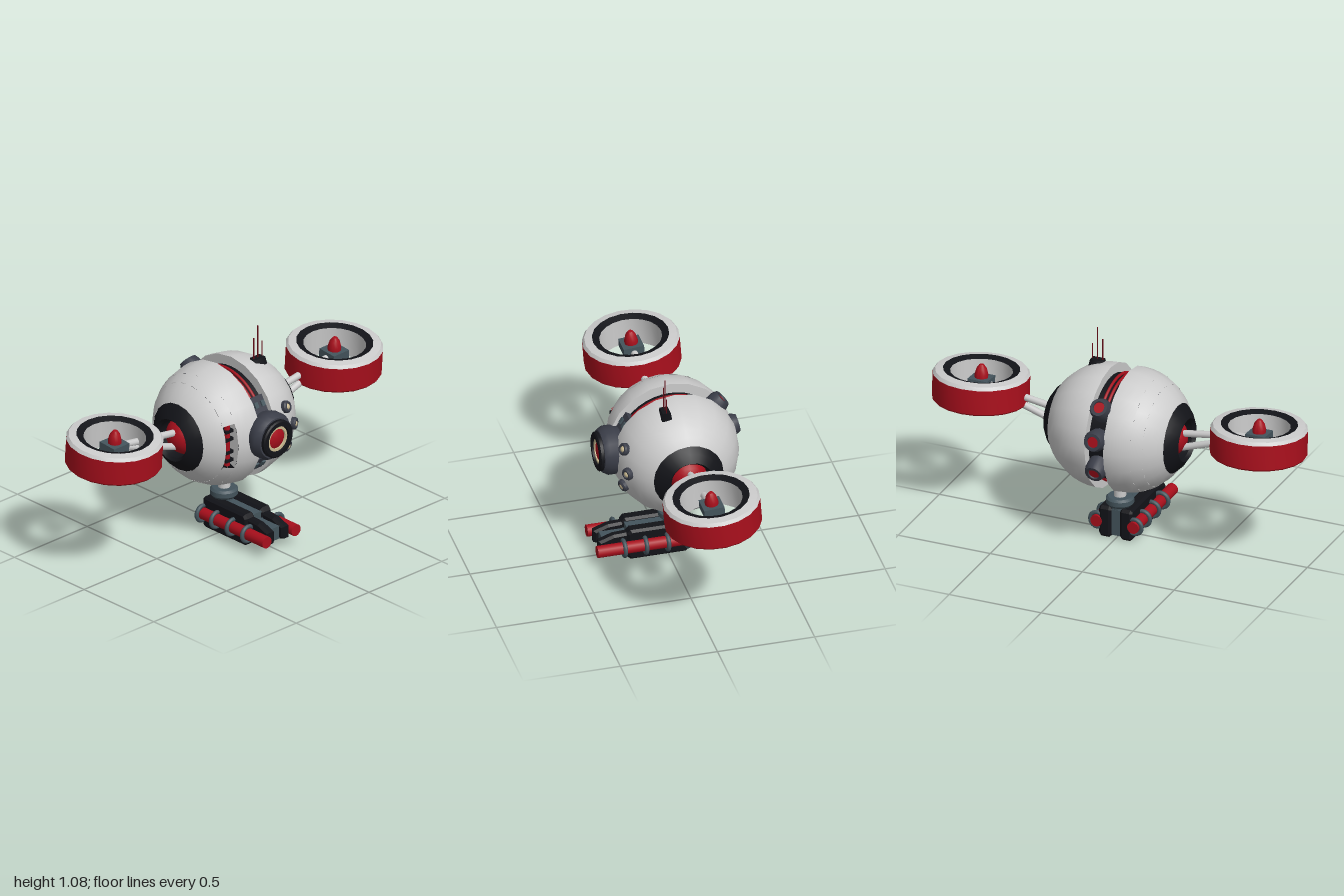
import * as THREE from 'three';
import { toCreasedNormals } from 'three/addons/utils/BufferGeometryUtils.js';

const mat = (color) => new THREE.MeshStandardMaterial({ color, side: THREE.DoubleSide });
const GREY = mat(0xcccccc), RED = mat(0xa80f1c), BLACK = mat(0x121318);
const SLATE = mat(0x3a3d48), STEEL = mat(0x44545c), IVORY = mat(0xc8b890), WIRE = mat(0x6a0d18);
const R = 0.32, GAP = 0.05, UP = new THREE.Vector3(0, 1, 0);
const rad = THREE.MathUtils.degToRad;

function add(parent, name, geo, material, pos = [0, 0, 0], rot = [0, 0, 0]) {
  const m = new THREE.Mesh(geo, material);
  m.name = name;
  m.position.set(...pos);
  m.rotation.set(...rot);
  parent.add(m);
  return m;
}
function group(parent, name, pos = [0, 0, 0]) {
  const g = new THREE.Group();
  g.name = name;
  g.position.set(...pos);
  parent.add(g);
  return g;
}
const box = (x, y, z) => new THREE.BoxGeometry(x, y, z);
const cyl = (r, h, n = 16, r2 = r) => new THREE.CylinderGeometry(r2, r, h, n);
const lathe = (pts, n = 20) => toCreasedNormals(
  new THREE.LatheGeometry(pts.map(([x, y]) => new THREE.Vector2(x, y)), n), 0.6);
// Cylinder running between two points
function rod(parent, name, a, b, r, material, n = 10) {
  const p = new THREE.Vector3(...a), d = new THREE.Vector3(...b).sub(p);
  const m = add(parent, name, cyl(r, d.length(), n), material);
  m.position.copy(p).addScaledVector(d, 0.5);
  m.quaternion.setFromUnitVectors(UP, d.normalize());
  return m;
}
// Group whose +y points outward from the body centre
function outward(parent, name, pos, dir) {
  const g = group(parent, name, pos);
  g.quaternion.setFromUnitVectors(UP, new THREE.Vector3(...dir).normalize());
  return g;
}

// Shell band between two polar angles, pole along +z, with an optional opening at +x
function shellBand(parent, t0, t1, open = 0) {
  const segs = Math.max(3, Math.round((t1 - t0) / rad(8)));
  const geo = new THREE.SphereGeometry(R, 20, segs, Math.PI + open, Math.PI * 2 - 2 * open, t0, t1 - t0);
  add(parent, 'shell', geo.rotateX(Math.PI / 2), GREY, [0, 0, GAP]);
}

function fan(parent, tilt) {
  const f = group(parent, 'fan', [0, 0.085, 0.755]);
  f.rotation.z = tilt;
  add(f, 'fanBand', lathe([[0.238, -0.076], [0.244, -0.068], [0.244, 0.06]]), RED);
  add(f, 'fanTopRim', lathe([[0.244, 0.06], [0.232, 0.076], [0.193, 0.082]]), GREY);
  add(f, 'fanInnerLip', lathe([[0.193, 0.082], [0.157, 0.07]]), BLACK);
  add(f, 'fanDuct', lathe([[0.157, 0.07], [0.16, -0.076], [0.238, -0.076]]), GREY);
  add(f, 'fanHub', box(0.105, 0.045, 0.105), STEEL, [0, 0.015, 0]);
  add(f, 'fanSpinner', lathe([[0.034, 0.035], [0.034, 0.055], [0.026, 0.085], [0.012, 0.105], [0, 0.108]], 14), RED);
}

// One half of the ball with its side socket, struts and fan
function bodyHalf(parent, name, front) {
  const h = group(parent, name);
  if (!front) h.rotation.y = Math.PI;
  const rim = Math.asin(0.18 / R);
  if (front) {
    const open = rad(25), tA = Math.acos(0.185 / R), tB = Math.acos(0.13 / R);
    shellBand(h, rim, tA);
    shellBand(h, tA, tB, open);
    shellBand(h, tB, Math.PI / 2);
    // Recess with a clamped pipe
    const r = group(h, 'sideRecess');
    add(r, 'recessWall', new THREE.RingGeometry(0.21, 0.29, 8, 1, -open, 2 * open), GREY, [0, 0, 0.18]);
    add(r, 'recessWall', new THREE.RingGeometry(0.21, 0.26, 8, 1, -open, 2 * open), GREY, [0, 0, 0.235]);
    add(r, 'recessFloor', new THREE.CylinderGeometry(0.215, 0.215, 0.055, 8, 1, true,
      Math.PI / 2 - open, 2 * open).rotateX(Math.PI / 2), GREY, [0, 0, 0.2075]);
    add(r, 'recessPipe', cyl(0.016, 0.22, 12), RED, [0.238, 0.005, 0.208]);
    for (const y of [-0.075, -0.03, 0.04, 0.085])
      add(r, 'pipeClamp', box(0.045, 0.016, 0.05), BLACK, [0.236, y, 0.208]);
  } else {
    shellBand(h, rim, Math.PI / 2);
  }
  add(h, 'innerFace', new THREE.RingGeometry(0.2, R, 20), GREY, [0, 0, GAP]);
  // Socket ring and ball
  add(h, 'socketRing', lathe([[0.18, 0.312], [0.15, 0.343], [0.112, 0.367], [0.098, 0.35], [0.095, 0.28]])
    .rotateX(Math.PI / 2), BLACK);
  add(h, 'socketBall', new THREE.SphereGeometry(0.1, 20, 14), RED, [0, 0, 0.262]);
  // Paired struts meeting at the fan hub
  rod(h, 'upperStrut', [0, 0.03, 0.32], [0, 0.095, 0.74], 0.018, GREY);
  rod(h, 'lowerStrut', [0, -0.05, 0.32], [0, 0.09, 0.74], 0.018, GREY);
  fan(h, front ? -0.075 : 0.075);
}

function eye(parent) {
  const e = group(parent, 'eye', [0, 0.02, 0]);
  e.rotation.z = -Math.PI / 2;
  add(e, 'eyeHousing', lathe([[0.1, 0.2], [0.115, 0.29], [0.124, 0.305], [0.124, 0.345], [0.108, 0.372], [0.09, 0.374]], 24), SLATE);
  add(e, 'eyeBezel', lathe([[0.1, 0.36], [0.1, 0.388], [0.092, 0.394], [0.07, 0.394], [0.066, 0.37]], 24), BLACK);
  add(e, 'eyeRing', lathe([[0.068, 0.375], [0.066, 0.385], [0.053, 0.385], [0.052, 0.372]], 24), IVORY);
  add(e, 'eyeLens', lathe([[0.054, 0.375], [0.04, 0.383], [0, 0.387]], 24), RED);
}

// Equipment running round the gap between the two halves
function centreBand(parent) {
  const b = group(parent, 'centreBand');
  add(b, 'core', cyl(0.268, 0.1, 40).rotateX(Math.PI / 2), BLACK);
  for (const s of [1, -1]) {
    for (const z of [-0.013, 0.013]) {
      const path = [];
      for (let a = 20; a <= 130; a += 10)
        path.push(new THREE.Vector3(Math.cos(rad(a)) * 0.272, s * Math.sin(rad(a)) * 0.272, z));
      add(b, 'cable', new THREE.TubeGeometry(new THREE.CatmullRomCurve3(path), 32, 0.008, 6), RED);
    }
    const a = rad(s * 33);
    const g = outward(b, 'eyeBracket', [0, 0, 0], [Math.cos(a), Math.sin(a), 0]);
    add(g, 'bracketBlock', box(0.09, 0.05, 0.08), SLATE, [0, 0.275, 0]);
    for (const z of [-0.022, 0.022]) add(g, 'bracketStud', box(0.03, 0.012, 0.022), STEEL, [0, 0.303, z]);
  }
  // Rear sensor pods
  for (const deg of [139, 169, 200]) {
    const a = rad(deg);
    const p = outward(b, 'rearPod', [0, 0, 0], [Math.cos(a), Math.sin(a), 0]);
    add(p, 'podBody', lathe([[0.055, 0.25], [0.055, 0.32], [0.045, 0.345], [0.03, 0.345], [0.027, 0.33]], 16), SLATE);
    add(p, 'podLens', cyl(0.03, 0.02, 16), RED, [0, 0.327, 0]);
  }
}

function blaster(parent) {
  const g = group(parent, 'blaster', [0, 0.085, 0]);
  // Chamfered body halves with tapering muzzles
  const body = new THREE.Shape([[-0.105, -0.07], [-0.09, -0.085], [0.195, -0.085], [0.212, -0.065],
    [0.212, 0.065], [0.195, 0.085], [-0.09, 0.085], [-0.105, 0.07]].map((p) => new THREE.Vector2(...p)));
  const muzzle = new THREE.Shape([[0.2, -0.06], [0.28, -0.058], [0.355, -0.03], [0.355, 0.035],
    [0.28, 0.062], [0.2, 0.066]].map((p) => new THREE.Vector2(...p)));
  const slab = (s, d) => new THREE.ExtrudeGeometry(s, {
    depth: d - 0.024, bevelEnabled: true, bevelThickness: 0.012, bevelSize: 0.012, bevelOffset: -0.012, bevelSegments: 1,
  }).translate(0, 0, -d / 2 + 0.012);
  add(g, 'blasterSpine', box(0.29, 0.14, 0.06), STEEL, [0.055, 0, 0]);
  add(g, 'spineMuzzle', box(0.13, 0.07, 0.06), STEEL, [0.265, 0, 0]);
  for (const s of [1, -1]) {
    add(g, 'blasterBody', slab(body, 0.065), BLACK, [0, 0, s * 0.057]);
    add(g, 'blasterMuzzle', slab(muzzle, 0.05), BLACK, [0, 0, s * 0.05]);
    rod(g, 'barrel', [-0.11, 0, s * 0.1], [0.373, 0, s * 0.1], 0.031, RED, 16);
    for (const x of [-0.09, 0.012, 0.125, 0.235])
      add(g, 'barrelRing', new THREE.TorusGeometry(0.04, 0.011, 8, 20), STEEL, [x, 0, s * 0.1], [0, Math.PI / 2, 0]);
  }
}

export function createModel() {
  const model = new THREE.Group();
  model.name = 'flyingDrone';
  const ball = group(model, 'ball', [-0.04, 0.595, 0]);
  bodyHalf(ball, 'frontHalf', true);
  bodyHalf(ball, 'backHalf', false);
  centreBand(ball);
  eye(ball);

  // Bolts on the back half, beside the eye
  for (const [y, z] of [[0.11, -0.1], [0, -0.155], [-0.1, -0.1]]) {
    const x = Math.sqrt(R * R - y * y - z * z);
    const b = outward(ball, 'bolt', [x, y, z - GAP], [x, y, z]);
    add(b, 'boltRing', lathe([[0.032, -0.02], [0.032, 0.012], [0.026, 0.02], [0.018, 0.02], [0.016, 0.008]], 14), SLATE);
    add(b, 'boltCap', new THREE.SphereGeometry(0.018, 12, 8), IVORY, [0, 0.006, 0]);
  }

  // Antenna cluster
  const aerial = group(model, 'antenna', [0.038, 0.885, -0.157]);
  add(aerial, 'antennaBase', cyl(0.057, 0.04, 4, 0.045).rotateY(Math.PI / 4).scale(0.65, 1, 1), BLACK);
  for (const [z, top] of [[0, 0.195], [0.028, 0.135], [-0.028, 0.1]])
    rod(aerial, 'antennaRod', [0, 0, z], [0, top, z], 0.003, WIRE, 6);

  // Lower mount
  rod(model, 'stem', [-0.04, 0.19, 0], [-0.04, 0.42, 0], 0.031, GREY, 16);
  add(model, 'stemCollar', lathe([[0, -0.025], [0.06, -0.025], [0.071, -0.012], [0.071, 0.012], [0.06, 0.023], [0, 0.023]], 20),
    STEEL, [-0.04, 0.194, 0]);
  add(model, 'collarFoot', cyl(0.05, 0.04, 16), STEEL, [-0.04, 0.165, 0]);
  blaster(model);
  return model;
}
